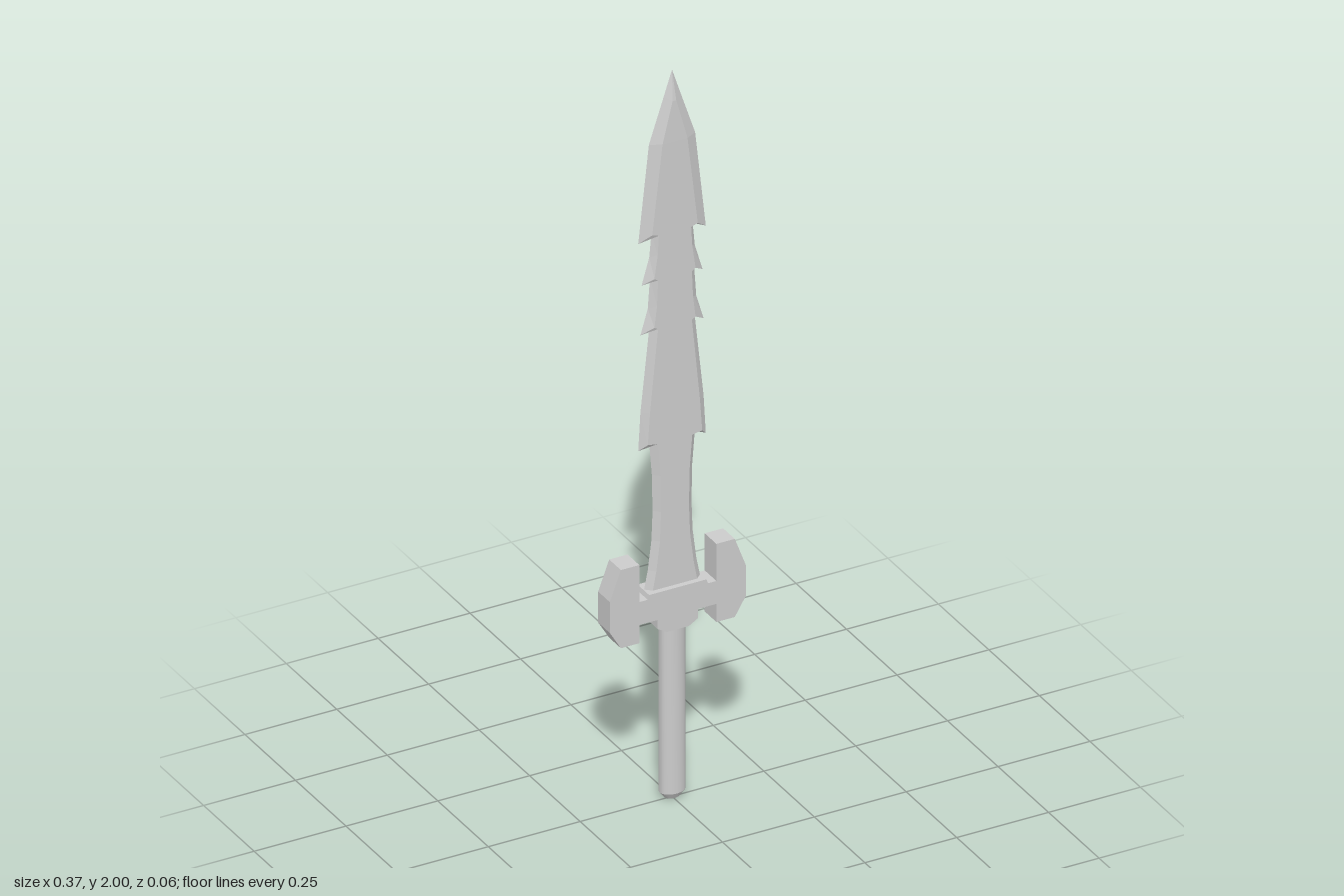
import * as THREE from 'three';
import { toCreasedNormals } from 'three/addons/utils/BufferGeometryUtils.js';

const steel = new THREE.MeshStandardMaterial({ color: 0xcccccc });
const facetedSteel = new THREE.MeshStandardMaterial({ color: 0xcccccc, flatShading: true });

// Bevelled blade: each row is [edge x, edge y, face x, face y, half thickness]
function bladeGeometry() {
  const t = 0.015;
  const rows = [
    [0.08, 0.57, 0.064, 0.57, t],
    [0.066, 0.64, 0.051, 0.64, t],
    [0.056, 0.72, 0.041, 0.72, t],
    [0.053, 0.8, 0.038, 0.8, t],
    [0.055, 0.9, 0.04, 0.9, t],
    [0.062, 0.988, 0.047, 0.99, t],
    [0.092, 0.975, 0.074, 0.994, t], // lower barb
    [0.086, 1.08, 0.068, 1.08, t],
    [0.062, 1.305, 0.046, 1.306, t],
    [0.086, 1.292, 0.056, 1.312, t], // small barbs
    [0.066, 1.36, 0.049, 1.37, t],
    [0.06, 1.445, 0.046, 1.44, t],
    [0.083, 1.428, 0.056, 1.446, t],
    [0.062, 1.5, 0.047, 1.51, t],
    [0.056, 1.565, 0.044, 1.562, t],
    [0.092, 1.545, 0.062, 1.568, t], // spear head
    [0.063, 1.81, 0.034, 1.81, t],
    [0.023, 1.93, 0.005, 1.92, 0.012],
    [0, 2, 0, 2, 0],
  ];
  const positions = [], index = [], n = 8;
  for (const [ex, ey, fx, fy, d] of rows) {
    positions.push(ex, ey, 0, fx, fy, d, 0, fy, d, -fx, fy, d);
    positions.push(-ex, ey, 0, -fx, fy, -d, 0, fy, -d, fx, fy, -d);
  }
  for (let i = 0; i < rows.length - 1; i++) {
    for (let j = 0; j < n; j++) {
      const a = i * n + j, b = i * n + (j + 1) % n;
      index.push(a, a + n, b + n, a, b + n, b);
    }
  }
  for (let j = 1; j < n - 1; j++) index.push(0, j, j + 1); // closed base
  const g = new THREE.BufferGeometry();
  g.setAttribute('position', new THREE.Float32BufferAttribute(positions, 3));
  g.setIndex(index);
  g.computeVertexNormals();
  return g;
}

// Crossguard: mirrored half outline, extruded
function guardGeometry() {
  const half = [
    [0.03, 0.475], [0.055, 0.49], [0.055, 0.515], [0.105, 0.515],
    [0.105, 0.465], [0.155, 0.465], [0.185, 0.515], [0.185, 0.6],
    [0.155, 0.68], [0.105, 0.68], [0.105, 0.578], [0.082, 0.578], [0.078, 0.59],
  ];
  const mirrored = half.map(([x, y]) => [-x, y]).reverse();
  const shape = new THREE.Shape([...half, ...mirrored].map(([x, y]) => new THREE.Vector2(x, y)));
  const g = new THREE.ExtrudeGeometry(shape, { depth: 0.058, bevelEnabled: false });
  return g.translate(0, 0, -0.029);
}

// Grip: oval rod with a chamfered end
function gripGeometry() {
  const profile = [[0, 0], [0.02, 0.003], [0.034, 0.02], [0.034, 0.485], [0, 0.485]];
  const g = new THREE.LatheGeometry(profile.map(([x, y]) => new THREE.Vector2(x, y)), 20);
  g.scale(1, 1, 0.72);
  return toCreasedNormals(g, 0.5);
}

export function createModel() {
  const model = new THREE.Group();
  model.name = 'sword';
  const add = (name, geometry, material) => {
    const mesh = new THREE.Mesh(geometry, material);
    mesh.name = name;
    model.add(mesh);
  };
  add('blade', bladeGeometry(), facetedSteel);
  add('crossguard', guardGeometry(), facetedSteel);
  add('grip', gripGeometry(), steel);
  return model;
}
